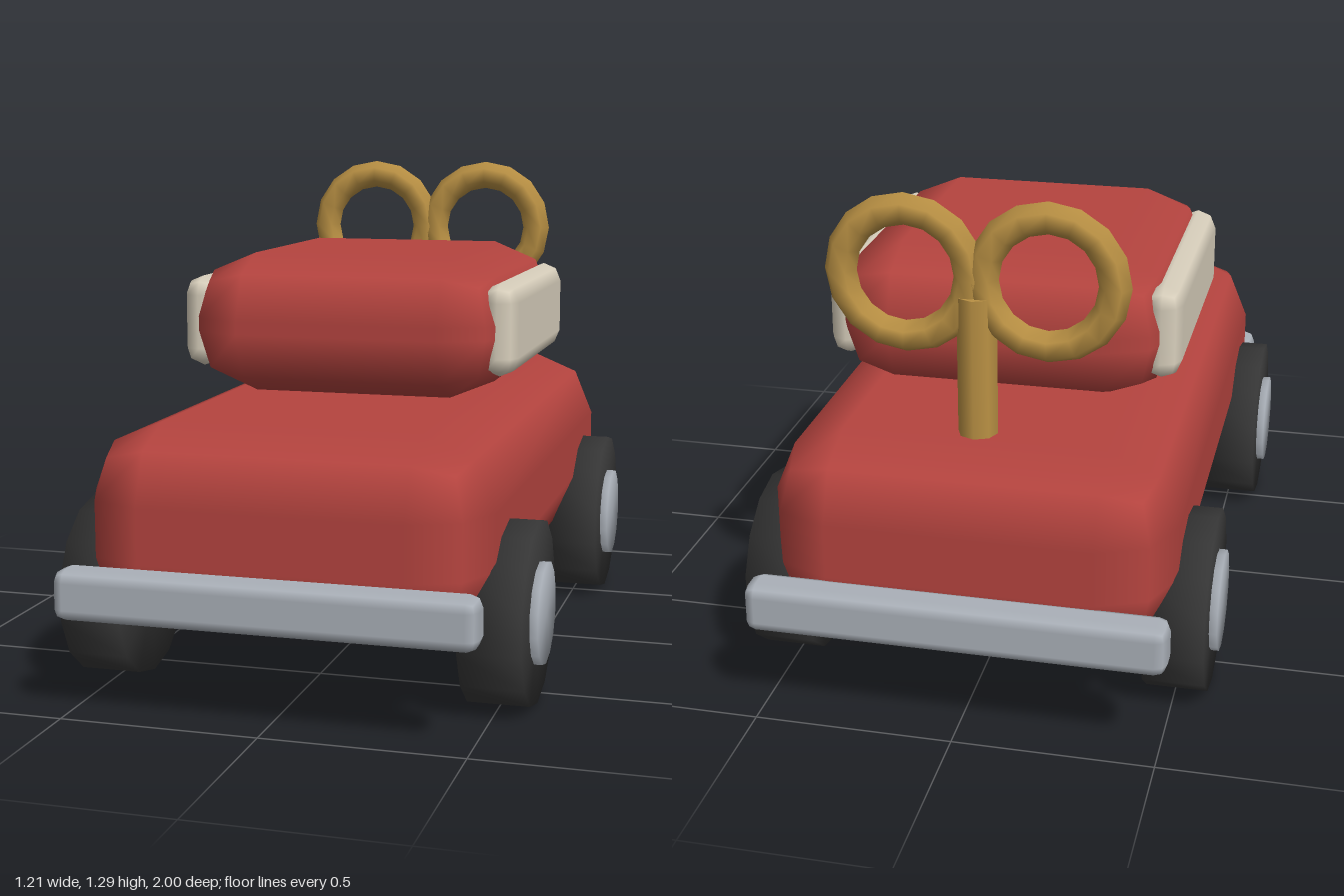
import * as THREE from 'three';
import { RoundedBoxGeometry } from 'three/addons/geometries/RoundedBoxGeometry.js';
import { mergeVertices } from 'three/addons/utils/BufferGeometryUtils.js';

const paint = (name, color) => {
  const m = new THREE.MeshStandardMaterial({ color });
  m.name = name;
  return m;
};

// Cylinder along x whose normals are smoothed over its rim, for a soft look
function softDisc(radius, width, sides) {
  const g = new THREE.CylinderGeometry(radius, radius, width, sides);
  g.deleteAttribute('normal');
  g.deleteAttribute('uv');
  const soft = mergeVertices(g);
  soft.computeVertexNormals();
  soft.rotateZ(Math.PI / 2);
  soft.rotateX(Math.PI / 2);
  return soft;
}

export function createModel() {
  const red = paint('red paint', 0xb5443f);
  const cream = paint('cream window', 0xd8cfbc);
  const steel = paint('steel', 0xaab0b8);
  const rubber = paint('black rubber', 0x363636);
  const brass = paint('brass', 0xba9144);

  const model = new THREE.Group();
  model.name = 'windUpCar';

  const add = (name, geometry, material, x, y, z, parent = model) => {
    const mesh = new THREE.Mesh(geometry, material);
    mesh.name = name;
    mesh.position.set(x, y, z);
    parent.add(mesh);
    return mesh;
  };
  // Box with one chunky bevel step on every edge
  const softBox = (w, h, d, r) => new RoundedBoxGeometry(w, h, d, 1, r);

  // Body and cabin
  add('body', softBox(1.02, 0.5, 1.84, 0.18), red, 0, 0.44, 0);
  add('cabin', softBox(0.88, 0.375, 0.92, 0.17), red, 0, 0.878, -0.09);

  // Bumpers
  const bumper = softBox(1.04, 0.126, 0.1, 0.03);
  add('frontBumper', bumper, steel, 0, 0.301, 0.95);
  add('rearBumper', bumper, steel, 0, 0.301, -0.95);

  // Side windows, wheels and hubcaps
  const windowGeo = softBox(0.1, 0.245, 0.74, 0.05);
  const tyreGeo = softDisc(0.231, 0.156, 14);
  const hubGeo = softDisc(0.128, 0.06, 14);
  for (const [side, s] of [['left', 1], ['right', -1]]) {
    add(side + 'Window', windowGeo, cream, s * 0.41, 0.88, -0.09);
    for (const [end, z] of [['Front', 0.58], ['Rear', -0.58]]) {
      const wheel = new THREE.Group();
      wheel.name = side + end + 'Wheel';
      wheel.position.set(0, 0.231, z);
      add('tyre', tyreGeo, rubber, s * 0.507, 0, 0, wheel);
      add('hubcap', hubGeo, steel, s * 0.575, 0, 0, wheel);
      model.add(wheel);
    }
  }

  // Wind-up key: a stem with two ring handles
  const key = new THREE.Group();
  key.name = 'windUpKey';
  key.position.z = -0.69;
  add('keyStem', new THREE.CylinderGeometry(0.05, 0.05, 0.4, 8), brass, 0, 0.845, 0, key);
  const ring = new THREE.TorusGeometry(0.16, 0.04, 6, 16);
  add('leftKeyRing', ring, brass, 0.175, 1.0875, 0, key);
  add('rightKeyRing', ring, brass, -0.175, 1.0875, 0, key);
  model.add(key);

  return model;
}
